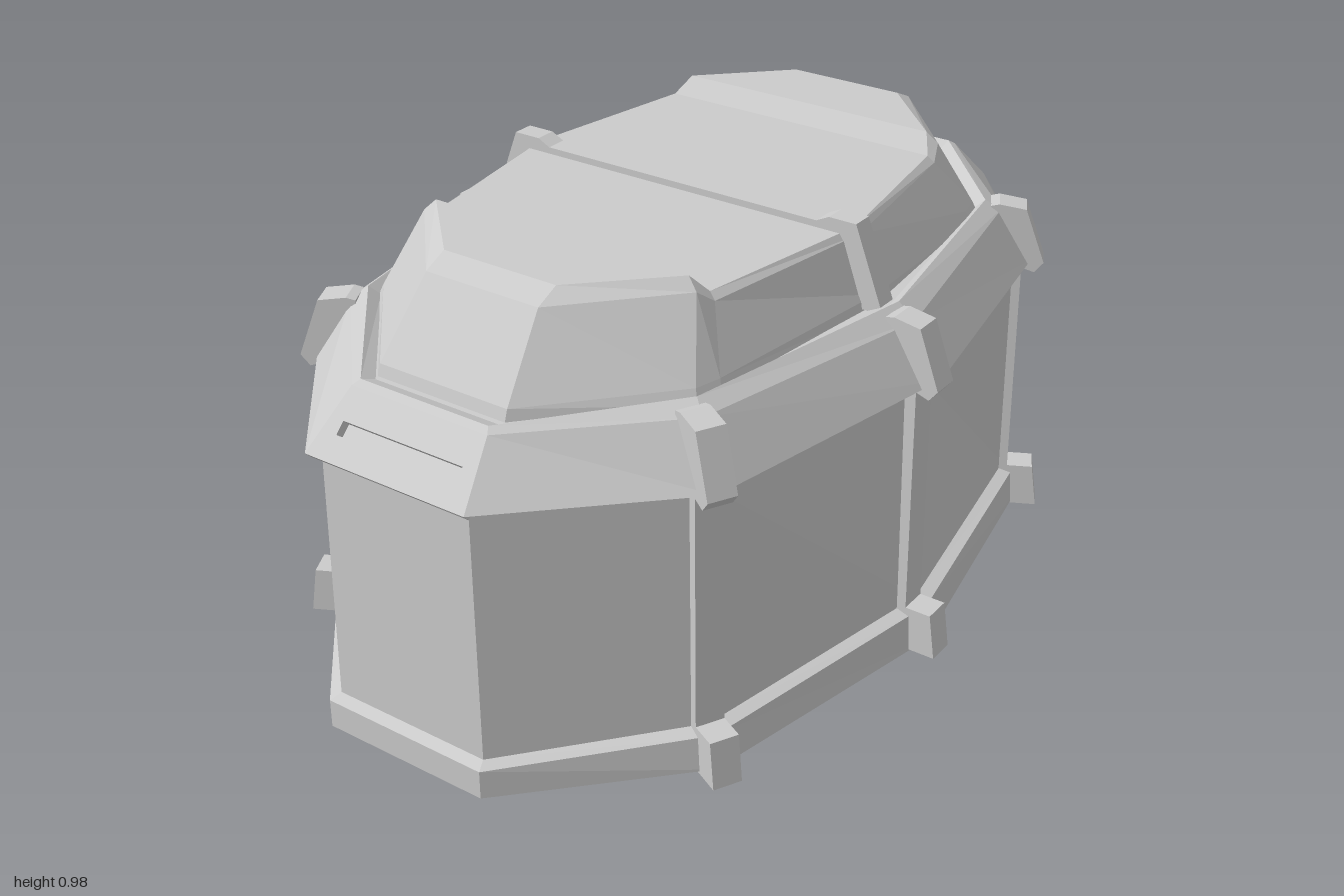
import * as THREE from 'three';

const mat = new THREE.MeshStandardMaterial({ color: 0xcccccc, flatShading: true });

function add(parent, name, geometry) {
  const mesh = new THREE.Mesh(geometry, mat);
  mesh.name = name;
  parent.add(mesh);
  return mesh;
}

// Mirror a quarter outline (side point first, end point last) into a full loop
function ring(quarter) {
  const back = [...quarter].reverse();
  const put = (list, sx, sz) => list.map(([x, y, z]) => [x * sx, y, z * sz]);
  return [
    ...put(quarter, 1, 1), ...put(back, -1, 1),
    ...put(quarter.slice(1), -1, -1), ...put(back.slice(0, -1), 1, -1),
  ];
}

// Skin a stack of quarter outlines and close both ends; skip(level, side) leaves a gap
function loft(quarters, skip = () => false) {
  const n = quarters[0].length, rings = quarters.map(ring), N = rings[0].length;
  const pos = [];
  const quad = (a, b, c, d) => [a, b, c, a, c, d].forEach(p => pos.push(...p));
  for (let l = 0; l < rings.length - 1; l++) {
    const lo = rings[l], hi = rings[l + 1];
    for (let i = 0; i < N; i++) {
      const j = (i + 1) % N;
      if (!skip(l, i)) quad(lo[i], hi[i], hi[j], lo[j]);
    }
  }
  // Caps run as cross strips from front to back
  const top = rings[rings.length - 1], bottom = rings[0];
  for (let k = n - 1; k > 1 - n; k--) {
    const r = (k + N) % N, r2 = (k - 1 + N) % N, l = 2 * n - 1 - k, l2 = l + 1;
    const w = i => i % N;
    quad(top[r], top[r2], top[w(l2)], top[w(l)]);
    quad(bottom[r], bottom[w(l)], bottom[w(l2)], bottom[r2]);
  }
  const g = new THREE.BufferGeometry();
  g.setAttribute('position', new THREE.Float32BufferAttribute(pos, 3));
  g.computeVertexNormals();
  return g;
}

// Extrude an outline symmetrically about z = 0
function slab(points, depth) {
  const shape = new THREE.Shape(points.map(([x, y]) => new THREE.Vector2(x, y)));
  return new THREE.ExtrudeGeometry(shape, { depth, bevelEnabled: false }).translate(0, 0, -depth / 2);
}

export function createModel() {
  const model = new THREE.Group();
  model.name = 'storagePod';

  // Ten-sided body: foot, wall, sloped rim and lid groove (side, corner, end points)
  add(model, 'body', loft([
    [[0.64, 0, 0], [0.52, 0.01, 0.65], [0.2, 0.02, 1]],
    [[0.635, 0.09, 0], [0.515, 0.09, 0.645], [0.2, 0.085, 1]],
    [[0.605, 0.1, 0], [0.49, 0.1, 0.63], [0.19, 0.095, 0.975]],
    [[0.595, 0.64, 0], [0.485, 0.645, 0.625], [0.185, 0.655, 0.97]],
    [[0.635, 0.65, 0], [0.515, 0.65, 0.645], [0.2, 0.67, 1]],
    [[0.565, 0.765, 0], [0.45, 0.775, 0.6], [0.17, 0.78, 0.89]],
    [[0.525, 0.8, 0], [0.42, 0.8, 0.575], [0.16, 0.79, 0.875]],
    [[0.5, 0.78, 0], [0.4, 0.78, 0.56], [0.155, 0.775, 0.84]],
  ], (level, i) => level === 4 && (i === 2 || i === 7)));

  // Lid: sunken middle with a raised crown at each end
  add(model, 'lid', loft([
    [[0.475, 0.77, 0], [0.425, 0.77, 0.5], [0.41, 0.77, 0.56], [0.16, 0.77, 0.83]],
    [[0.47, 0.8, 0], [0.415, 0.8, 0.49], [0.4, 0.8, 0.55], [0.16, 0.8, 0.82]],
    [[0.425, 0.925, 0], [0.36, 0.925, 0.43], [0.345, 0.955, 0.47], [0.14, 0.955, 0.695]],
    [[0.415, 0.94, 0], [0.345, 0.94, 0.425], [0.32, 0.98, 0.46], [0.14, 0.98, 0.64]],
  ]));

  // Strap across the lid
  const half = [[0.48, 0.785], [0.51, 0.8], [0.445, 0.97], [0.38, 0.97], [0.35, 0.955]];
  const strap = [...half, ...half.map(([x, y]) => [-x, y]).reverse()];
  add(model, 'lidStrap', slab(strap, 0.05)).position.z = 0.025;

  // Upright ribs with a foot clasp and a rim clasp
  const profile = [
    [0.53, 0.005], [0.69, 0.005], [0.675, 0.11], [0.615, 0.11], [0.61, 0.64],
    [0.64, 0.63], [0.66, 0.655], [0.612, 0.785], [0.55, 0.795], [0.53, 0.79],
  ];
  const ribGeometry = slab(profile, 0.065);
  const rib = (name, x, z, nx, nz) => {
    const mesh = add(model, name, ribGeometry);
    mesh.rotation.y = -Math.atan2(nz, nx);
    mesh.position.set(x - 0.64 * nx, 0, z - 0.64 * nz);
  };
  for (const sx of [1, -1]) {
    rib('sideRib', 0.64 * sx, 0.03, sx, 0);
    for (const sz of [1, -1]) rib('cornerRib', 0.52 * sx, 0.65 * sz, 0.89 * sx, 0.456 * sz);
  }

  // Slotted rim panel at each end
  const panelShape = new THREE.Shape([[-0.2, 0], [0.2, 0], [0.17, 0.1556], [-0.17, 0.1556]]
    .map(([x, y]) => new THREE.Vector2(x, y)));
  panelShape.holes.push(new THREE.Path([[-0.15, 0.055], [-0.15, 0.085], [0.15, 0.085], [0.15, 0.055]]
    .map(([x, y]) => new THREE.Vector2(x, y))));
  const panelGeometry = new THREE.ExtrudeGeometry(panelShape, { depth: 0.02, bevelEnabled: false })
    .translate(0, 0, -0.02);
  const slotBack = new THREE.BoxGeometry(0.34, 0.05, 0.01).translate(0, 0.07, -0.025);
  for (const angle of [0, Math.PI]) {
    const end = new THREE.Group();
    end.name = 'rimPanel';
    end.rotation.y = angle;
    const tilt = new THREE.Group();
    tilt.name = 'slopedPanel';
    tilt.position.set(0, 0.67, 1);
    tilt.rotation.x = -Math.PI / 4;
    add(tilt, 'slottedPlate', panelGeometry);
    add(tilt, 'slotBack', slotBack);
    end.add(tilt);
    model.add(end);
  }
  return model;
}
